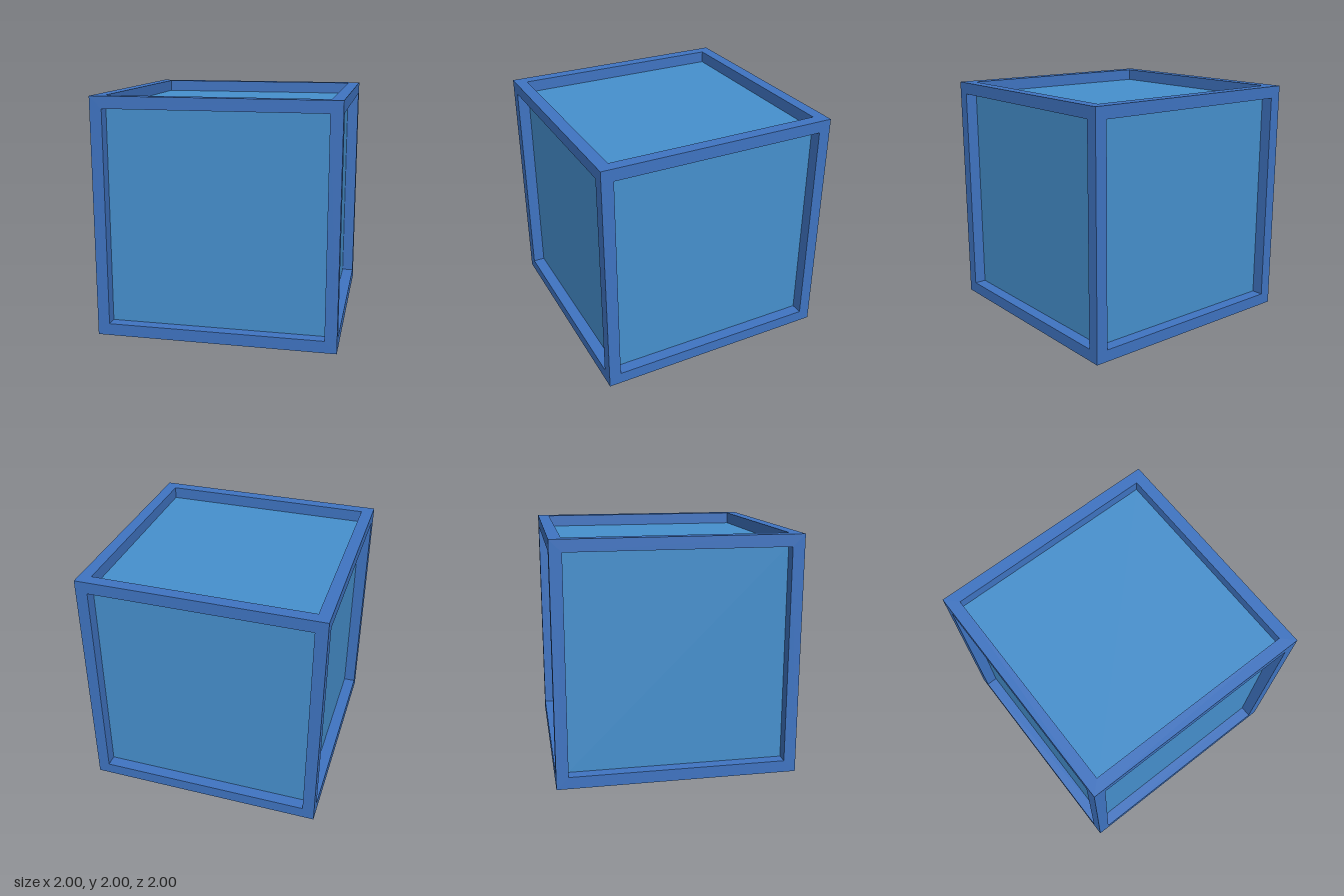
import * as THREE from 'three';
import { mergeGeometries } from 'three/addons/utils/BufferGeometryUtils.js';

const HALF = 1;                 // half the cube's edge
const BAR = 0.1;                // width of the frame bars and depth of the recesses
const INNER = HALF - BAR;

const square = (Type, r) => new Type([[-r, -r], [r, -r], [r, r], [-r, r]].map(([x, y]) => new THREE.Vector2(x, y)));

// One side of the frame, facing +z: a flat square ring and the four walls of its recess
function frameSide() {
  const ring = square(THREE.Shape, HALF);
  ring.holes.push(square(THREE.Path, INNER));
  const parts = [new THREE.ShapeGeometry(ring).translate(0, 0, HALF)];
  for (let i = 0; i < 4; i++) {
    parts.push(new THREE.PlaneGeometry(2 * INNER, BAR)
      .rotateX(-Math.PI / 2)
      .translate(0, -INNER, HALF - BAR / 2)
      .rotateZ(i * Math.PI / 2));
  }
  return mergeGeometries(parts);
}

export function createModel() {
  const model = new THREE.Group();
  model.name = 'framedCube';

  // Frame: the same side turned to all six directions
  const sides = [];
  for (let i = 0; i < 4; i++) sides.push(frameSide().rotateY(i * Math.PI / 2));
  for (const s of [-1, 1]) sides.push(frameSide().rotateX(s * Math.PI / 2));
  const frame = new THREE.Mesh(mergeGeometries(sides), new THREE.MeshStandardMaterial({ color: 0x3f74c2 }));
  frame.name = 'frame';

  // Recessed panels: the lighter inner block
  const panels = new THREE.Mesh(
    new THREE.BoxGeometry(2 * INNER, 2 * INNER, 2 * INNER),
    new THREE.MeshStandardMaterial({ color: 0x4690ce }));
  panels.name = 'panels';

  for (const part of [frame, panels]) {
    part.position.y = HALF;
    model.add(part);
  }
  return model;
}
